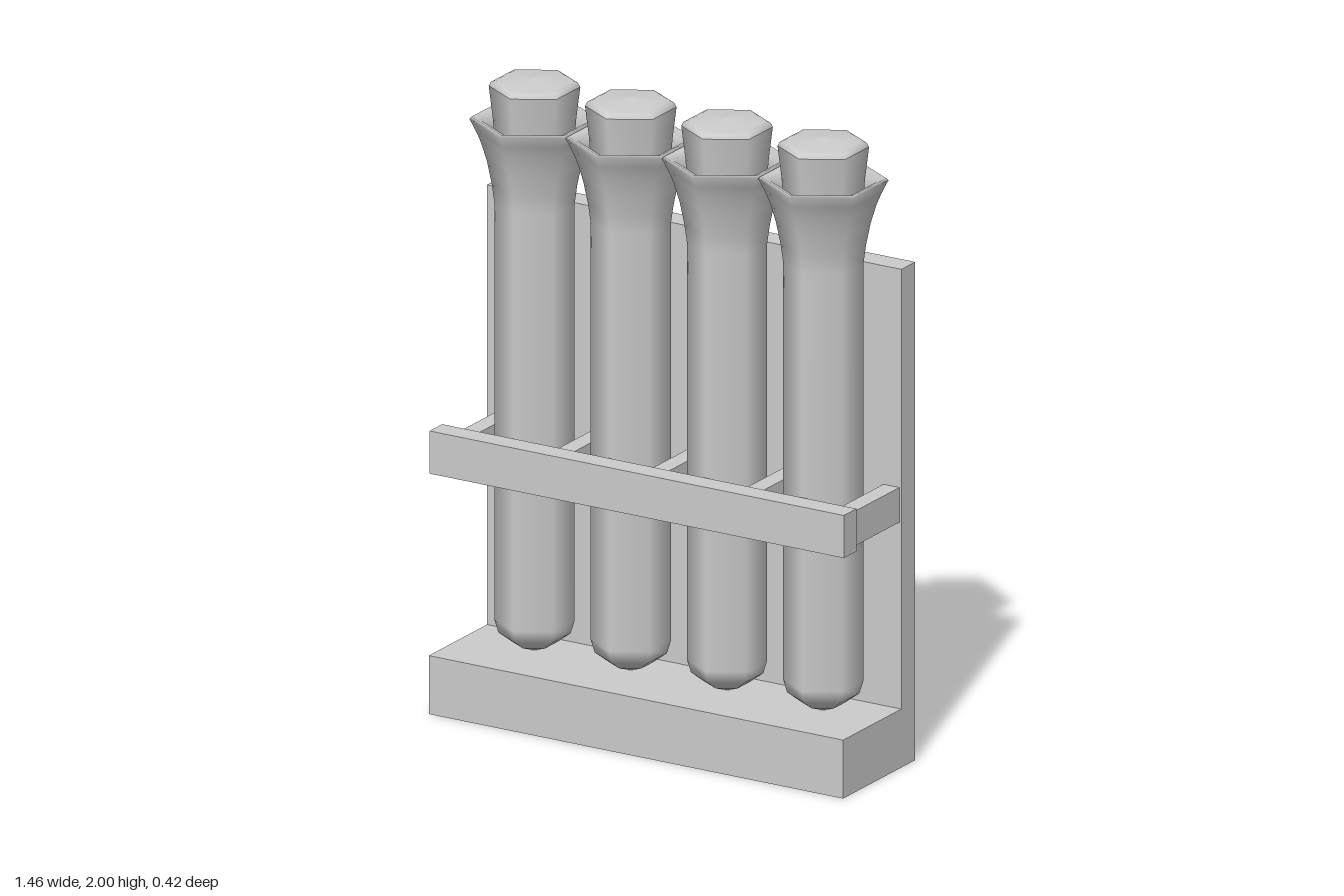
import * as THREE from 'three';

const material = new THREE.MeshStandardMaterial({ color: 0xcccccc });
const doubleSided = new THREE.MeshStandardMaterial({ color: 0xcccccc, side: THREE.DoubleSide });

// Box given by its min and max corners
function box(name, [x0, y0, z0], [x1, y1, z1]) {
  const mesh = new THREE.Mesh(new THREE.BoxGeometry(x1 - x0, y1 - y0, z1 - z0), material);
  mesh.position.set((x0 + x1) / 2, (y0 + y1) / 2, (z0 + z1) / 2);
  mesh.name = name;
  return mesh;
}

// Six-sided, smooth-shaded turned shape
function turned(name, profile) {
  const points = profile.map(([r, y]) => new THREE.Vector2(r, y));
  const mesh = new THREE.Mesh(new THREE.LatheGeometry(points, 6), doubleSided);
  mesh.name = name;
  return mesh;
}

function createTube() {
  const tube = new THREE.Group();
  // Rounded bottom, straight body, flared lip turning back inside
  tube.add(turned('tubeBody', [
    [0, 0.185], [0.065, 0.21], [0.108, 0.24], [0.12, 0.28], [0.12, 1.6],
    [0.128, 1.66], [0.142, 1.73], [0.16, 1.79], [0.177, 1.83],
    [0.195, 1.865], [0.188, 1.872], [0.16, 1.86], [0.14, 1.83], [0.12, 1.77],
  ]));
  // Stopper widening upward, with a low domed top
  tube.add(turned('stopper', [[0.118, 1.78], [0.125, 1.87], [0.137, 1.97]]));
  tube.add(turned('stopperTop', [[0.137, 1.97], [0.13, 1.983], [0.115, 1.988], [0, 2]]));
  return tube;
}

export function createModel() {
  const model = new THREE.Group();
  model.name = 'tubeRack';

  // Rack: base, back board and front rail, very slightly turned
  const rack = new THREE.Group();
  rack.name = 'rack';
  rack.rotation.y = 0.008;
  rack.add(box('base', [-0.728, 0, -0.206], [0.728, 0.185, 0.204]));
  rack.add(box('backBoard', [-0.728, 0.185, -0.206], [0.728, 1.577, -0.127]));
  rack.add(box('frontRail', [-0.728, 0.76, 0.128], [0.728, 0.895, 0.2]));
  // Dividers joining the rail to the board
  for (let i = 0; i < 5; i++) {
    const x = -0.637 + i * 0.3325;
    rack.add(box('divider' + (i + 1), [x - 0.028, 0.775, -0.13], [x + 0.028, 0.885, 0.13]));
  }
  model.add(rack);

  // Row of stoppered tubes
  for (let i = 0; i < 4; i++) {
    const tube = createTube();
    tube.name = 'tube' + (i + 1);
    tube.position.x = -0.485 + i * 0.34;
    model.add(tube);
  }
  return model;
}
